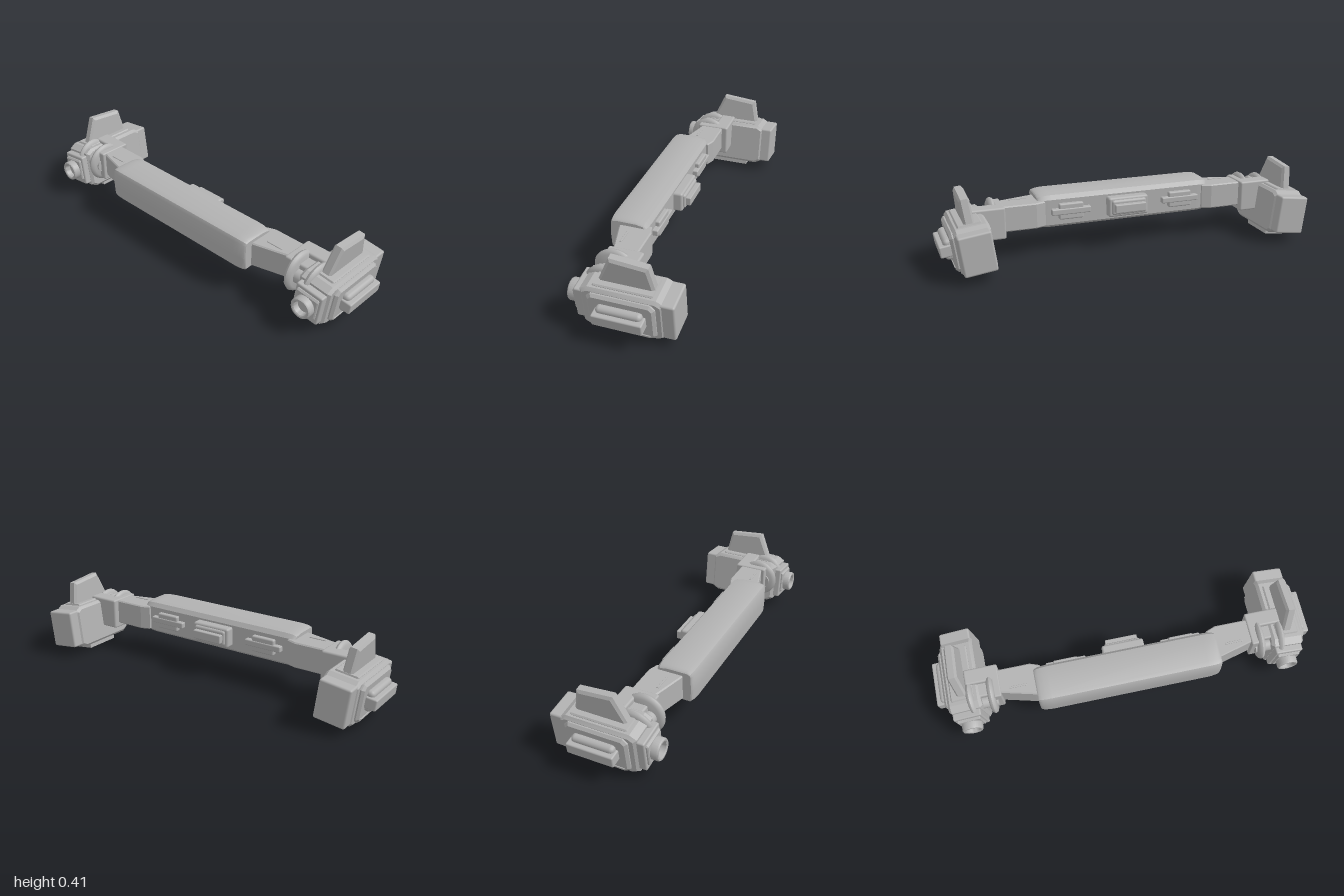
import * as THREE from 'three';
import { toCreasedNormals } from 'three/addons/utils/BufferGeometryUtils.js';
import { RoundedBoxGeometry } from 'three/addons/geometries/RoundedBoxGeometry.js';

const grey = new THREE.MeshStandardMaterial({ color: 0xb2b2b2 });
grey.name = 'plain grey';

function add(parent, name, geometry, x = 0, y = 0, z = 0) {
  const mesh = new THREE.Mesh(geometry, grey);
  mesh.name = name;
  mesh.position.set(x, y, z);
  parent.add(mesh);
  return mesh;
}

// Box given by its limits, with rounded edges
function block(parent, name, [x0, x1], [y0, y1], [z0, z1], r = 0.008) {
  const g = new RoundedBoxGeometry(x1 - x0, y1 - y0, z1 - z0, 2, r);
  return add(parent, name, g, (x0 + x1) / 2, (y0 + y1) / 2, (z0 + z1) / 2);
}

// [z, y] outline extruded along x from x0 to x1, bevels included
function slab(parent, name, outline, x0, x1, bevel = 0.008, thick = bevel, segments = 1) {
  const shape = new THREE.Shape(outline.map(([z, y]) => new THREE.Vector2(-z, y)));
  const g = new THREE.ExtrudeGeometry(shape, {
    depth: x1 - x0 - 2 * thick, bevelSize: bevel, bevelOffset: -bevel,
    bevelThickness: thick, bevelSegments: segments,
  });
  g.rotateY(Math.PI / 2);
  g.translate(x0 + thick, 0, 0);
  return add(parent, name, toCreasedNormals(g, 0.5), 0, 0, 0);
}

// Rectangle with cut corners in [z, y]
function octagon(z0, z1, y0, y1, cz, cy = cz) {
  return [[z1, y0 + cy], [z1 - cz, y0], [z0 + cz, y0], [z0, y0 + cy],
    [z0, y1 - cy], [z0 + cz, y1], [z1 - cz, y1], [z1, y1 - cy]];
}

function makePod() {
  const pod = new THREE.Group();
  pod.name = 'pod';
  pod.position.set(0.84, 0.155, 0);
  pod.rotation.z = -0.13;
  const p = new THREE.Group();
  p.name = 'podParts';
  p.position.y = -0.155;
  pod.add(p);

  // Housing with stepped front and rear ends
  slab(p, 'housing', octagon(-0.21, 0.182, 0.036, 0.27, 0.035, 0.02), -0.09, 0.085, 0.014);
  slab(p, 'topShoulder', [[0.14, 0.25], [-0.165, 0.25], [-0.155, 0.278], [0.125, 0.278]], -0.06, 0.06, 0.006);
  block(p, 'rearBlock', [-0.082, 0.08], [0.055, 0.256], [-0.26, -0.18], 0.01);
  block(p, 'frontBlock', [-0.074, 0.074], [0.07, 0.238], [0.15, 0.216], 0.008);
  slab(p, 'frontStep', octagon(0.16, 0.228, 0.098, 0.22, 0.008), -0.062, 0.062, 0.005);

  // Upright fin
  slab(p, 'fin', [[-0.157, 0.262], [-0.13, 0.394], [0.053, 0.411], [0.118, 0.262]], -0.026, 0.026, 0.014, 0.01);

  // Hollow round knob on the front
  const knob = new THREE.LatheGeometry([
    [0, 0.035], [0.034, 0.035], [0.037, 0.062], [0.042, 0.066],
    [0.05, 0.066], [0.054, 0.06], [0.054, 0.02], [0.06, 0.016], [0.06, 0],
  ].reverse().map(([r, y]) => new THREE.Vector2(r, y)), 32);
  knob.rotateX(Math.PI / 2);
  add(p, 'knob', toCreasedNormals(knob, 0.6), 0, 0.155, 0.199);

  // Outer panel with its clip
  slab(p, 'outerPanel', octagon(-0.175, 0.145, 0.054, 0.254, 0.022), 0.06, 0.104, 0.012);
  block(p, 'panelLedge', [0.09, 0.108], [0.076, 0.081], [-0.15, 0.12], 0.002);
  block(p, 'clipBase', [0.09, 0.136], [0.108, 0.215], [-0.125, 0.092], 0.02);
  block(p, 'clipBar', [0.1, 0.16], [0.132, 0.19], [-0.136, 0.102], 0.007);

  // Slotted foot underneath
  const foot = new THREE.Shape([[-0.055, -0.115], [0.055, -0.115], [0.055, 0.083], [-0.055, 0.083]]
    .map(([x, z]) => new THREE.Vector2(x, -z)));
  for (let i = 0; i < 4; i++) {
    const z = -0.098 + i * 0.044;
    foot.holes.push(new THREE.Path([[-0.037, z], [0.037, z], [0.037, z + 0.03], [-0.037, z + 0.03]]
      .map(([x, w]) => new THREE.Vector2(x, -w))));
  }
  const footGeo = new THREE.ExtrudeGeometry(foot, { depth: 0.036, bevelEnabled: false });
  footGeo.rotateX(-Math.PI / 2);
  add(p, 'foot', footGeo, 0, 0.007, 0);
  return pod;
}

function makeSide() {
  const side = new THREE.Group();
  side.name = 'leftSide';
  side.add(makePod());

  // Tapered arm between grip and bracket
  const arm = new THREE.Shape([[0.44, -0.03], [0.44, -0.19], [0.49, -0.18], [0.68, -0.13], [0.68, -0.012], [0.49, -0.012]]
    .map(([x, z]) => new THREE.Vector2(x, z)));
  const armGeo = new THREE.ExtrudeGeometry(arm, {
    depth: 0.122, bevelSize: 0.006, bevelOffset: -0.006, bevelThickness: 0.006, bevelSegments: 1,
  });
  armGeo.rotateX(-Math.PI / 2);
  add(side, 'arm', armGeo, 0, 0.161, 0);
  block(side, 'armRidge', [0.52, 0.61], [0.285, 0.293], [0.115, 0.125], 0.002);

  // Hinge bracket
  block(side, 'bracketBack', [0.655, 0.83], [0.13, 0.295], [-0.02, 0.062], 0.01);
  block(side, 'bracketCheek', [0.655, 0.695], [0.13, 0.295], [-0.015, 0.155], 0.008);
  block(side, 'bracketCore', [0.68, 0.81], [0.135, 0.27], [0.03, 0.13], 0.01);

  // Rounded hinge hoops
  const hoop = new THREE.LatheGeometry([[0, -0.018], [0.085, -0.018], [0.1, -0.011], [0.105, 0],
    [0.1, 0.011], [0.085, 0.018], [0, 0.018]].map(([r, y]) => new THREE.Vector2(r, y)), 36);
  hoop.rotateZ(-Math.PI / 2);
  const hoopGeo = toCreasedNormals(hoop, 0.8);
  add(side, 'innerHoop', hoopGeo, 0.707, 0.212, 0.105);
  const outer = add(side, 'outerHoop', hoopGeo, 0.806, 0.2, 0.105);
  outer.rotation.z = -0.13;
  const pin = new THREE.CylinderGeometry(0.035, 0.035, 0.12, 24);
  pin.rotateZ(Math.PI / 2);
  add(side, 'hingePin', pin, 0.74, 0.21, 0.14);

  // Small clip on the back of the grip
  block(side, 'backClipPlate', [0.24, 0.37], [0.185, 0.27], [0.016, 0.05], 0.008);
  block(side, 'backClipBar', [0.2, 0.41], [0.212, 0.244], [0.012, 0.05], 0.006);
  return side;
}

// Mirror a group to the other side, keeping faces outward
function mirrored(group, name) {
  const copy = new THREE.Group();
  copy.name = name;
  group.updateMatrixWorld(true);
  group.traverse((m) => {
    if (!m.isMesh) return;
    const g = m.geometry.index ? m.geometry.toNonIndexed() : m.geometry.clone();
    g.applyMatrix4(m.matrixWorld);
    for (const key of ['position', 'normal']) {
      const a = g.attributes[key], v = new THREE.Vector3(), w = new THREE.Vector3();
      for (let i = 0; i < a.count; i += 3) {
        for (let k = 0; k < 3; k++) a.setX(i + k, -a.getX(i + k));
        v.fromBufferAttribute(a, i + 1);
        w.fromBufferAttribute(a, i + 2);
        a.setXYZ(i + 1, w.x, w.y, w.z);
        a.setXYZ(i + 2, v.x, v.y, v.z);
      }
    }
    add(copy, m.name, g);
  });
  return copy;
}

export function createModel() {
  const model = new THREE.Group();
  model.name = 'twinPodBar';

  // Central grip with softened ends
  slab(model, 'grip', [[0.222, 0.14], [0.06, 0.14], [0.042, 0.155], [0.038, 0.29], [0.055, 0.312],
    [0.1, 0.32], [0.205, 0.32], [0.228, 0.312], [0.236, 0.295], [0.24, 0.22], [0.236, 0.155]],
  -0.477, 0.477, 0.014, 0.07, 4);

  // Central clip on the back
  block(model, 'centreClipBase', [-0.11, 0.11], [0.175, 0.28], [-0.008, 0.05], 0.012);
  block(model, 'centreClipFrame', [-0.095, 0.095], [0.188, 0.268], [-0.02, 0.04], 0.012);
  block(model, 'centreClipBar', [-0.085, 0.085], [0.205, 0.25], [-0.045, 0.03], 0.005);

  const left = makeSide();
  model.add(left, mirrored(left, 'rightSide'));
  return model;
}
